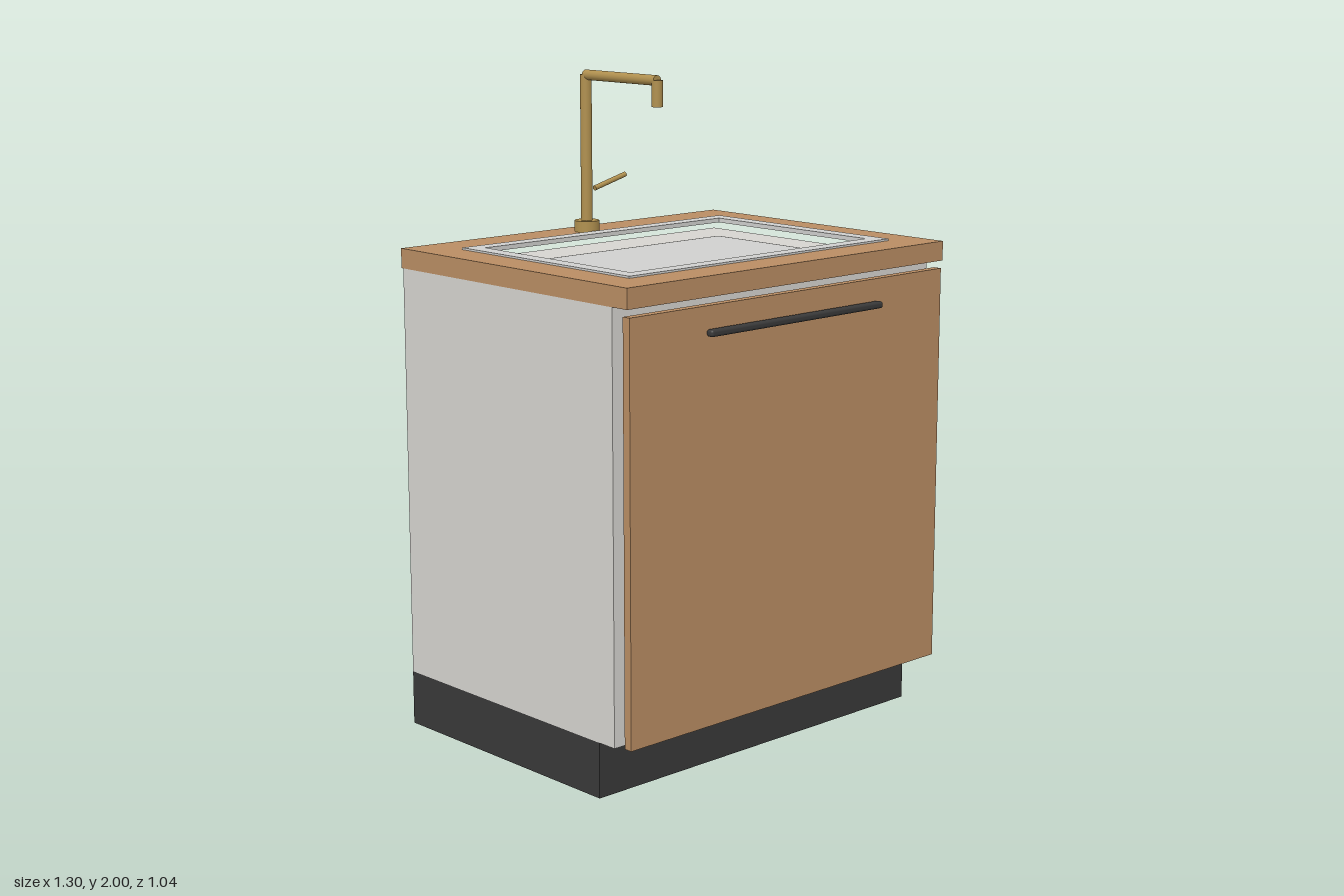
import * as THREE from 'three';
import { RoundedBoxGeometry } from 'three/addons/geometries/RoundedBoxGeometry.js';

const material = (name, color) => {
  const m = new THREE.MeshStandardMaterial({ color });
  m.name = name;
  return m;
};

export function createModel() {
  const group = new THREE.Group();
  group.name = 'sinkCabinet';

  const wood = material('wood', 0xb98d63);
  const panel = material('paintedPanel', 0xd6d4d0);
  const steel = material('steel', 0xd0d0ce);
  const black = material('blackMetal', 0x393939);
  const brass = material('brass', 0xb0904f);

  const add = (name, geometry, mat, parent = group) => {
    const mesh = new THREE.Mesh(geometry, mat);
    mesh.name = name;
    parent.add(mesh);
    return mesh;
  };

  // Box given by its limits on each axis
  const box = (name, mat, [x0, x1], [y0, y1], [z0, z1], radius = 0) => {
    const size = [x1 - x0, y1 - y0, z1 - z0];
    const geometry = radius
      ? new RoundedBoxGeometry(...size, 4, radius)
      : new THREE.BoxGeometry(...size);
    const mesh = add(name, geometry, mat);
    mesh.position.set((x0 + x1) / 2, (y0 + y1) / 2, (z0 + z1) / 2);
    return mesh;
  };

  // Cabinet, plinth, door and pull
  box('plinth', black, [-0.648, 0.648], [0, 0.168], [-0.512, 0.365]);
  box('cabinetBody', panel, [-0.648, 0.648], [0.168, 1.435], [-0.512, 0.43]);
  box('door', wood, [-0.642, 0.642], [0.175, 1.412], [0.467, 0.494]);
  box('doorHandle', black, [-0.355, 0.355], [1.325, 1.346], [0.494, 0.52], 0.008);

  // Countertop with a rectangular cut-out, drawn in plan and laid flat
  const rectangle = (path, x0, x1, z0, z1) => {
    path.moveTo(x0, -z0);
    path.lineTo(x1, -z0);
    path.lineTo(x1, -z1);
    path.lineTo(x0, -z1);
    path.closePath();
    return path;
  };
  const slab = rectangle(new THREE.Shape(), -0.65, 0.65, -0.518, 0.493);
  slab.holes.push(rectangle(new THREE.Path(), -0.486, 0.486, -0.322, 0.326));
  const slabGeometry = new THREE.ExtrudeGeometry(slab, { depth: 0.06, bevelEnabled: false });
  slabGeometry.rotateX(-Math.PI / 2);
  add('countertop', slabGeometry, wood).position.y = 1.435;

  // Sink block with rounded edges, seen through the cut-out
  box('sinkBasin', steel, [-0.482, 0.482], [1.12, 1.45], [-0.319, 0.323], 0.035);

  // Sink rim: full-length side strips, front and back strips between them
  for (const side of [-1, 1]) {
    const xs = [side * 0.485, side * 0.534].sort((a, b) => a - b);
    box(side < 0 ? 'rimRight' : 'rimLeft', steel, xs, [1.487, 1.501], [-0.37, 0.374]);
  }
  box('rimBack', steel, [-0.485, 0.485], [1.487, 1.501], [-0.37, -0.321]);
  box('rimFront', steel, [-0.485, 0.485], [1.487, 1.501], [0.325, 0.374]);

  // Tap
  const tap = new THREE.Group();
  tap.name = 'tap';
  tap.position.z = -0.417;
  group.add(tap);

  const rod = (name, from, to, radius) => {
    const a = new THREE.Vector3(...from);
    const b = new THREE.Vector3(...to);
    const dir = b.clone().sub(a);
    const mesh = add(name, new THREE.CylinderGeometry(radius, radius, dir.length(), 24), brass, tap);
    mesh.position.copy(a).add(b).multiplyScalar(0.5);
    mesh.quaternion.setFromUnitVectors(new THREE.Vector3(0, 1, 0), dir.normalize());
  };
  rod('tapBase', [0, 1.495, 0], [0, 1.53, 0], 0.039);
  rod('tapPost', [0, 1.53, 0], [0, 1.985, 0], 0.018);
  rod('tapArm', [0, 1.984, 0], [0, 1.984, 0.327], 0.016);
  rod('tapSpout', [0, 1.905, 0.327], [0, 1.985, 0.327], 0.017);
  rod('tapLever', [0.033, 1.628, 0], [0.162, 1.662, 0], 0.008);

  return group;
}
